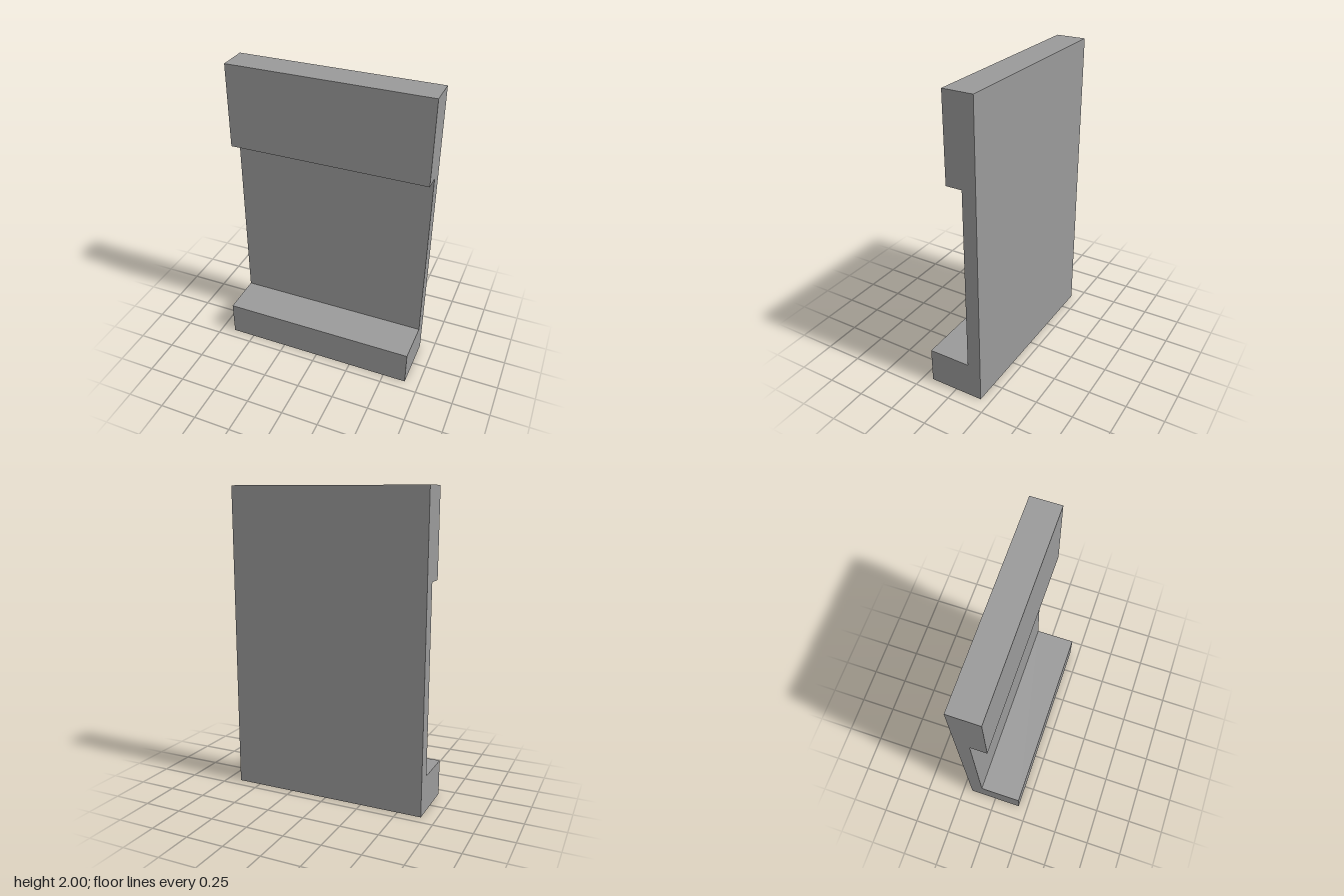
import * as THREE from 'three';

export function createModel() {
  const group = new THREE.Group();
  const width = 1.31;

  // Side profile as (z, y): base ledge, thin back panel, thicker header
  const profile = new THREE.Shape([
    [-0.185, 0], [0.185, 0], [0.185, 0.237], [-0.095, 0.237],
    [-0.095, 1.447], [0.01, 1.447], [0.01, 2], [-0.185, 2],
  ].map(([z, y]) => new THREE.Vector2(z, y)));

  // Sweep the profile across the width, then turn it so the ledge faces +z
  const geometry = new THREE.ExtrudeGeometry(profile, { depth: width, bevelEnabled: false });
  geometry.translate(0, 0, -width / 2);
  geometry.rotateY(-Math.PI / 2);

  const panel = new THREE.Mesh(
    geometry,
    new THREE.MeshStandardMaterial({ color: 0x9a9a9a, flatShading: true })
  );
  panel.name = 'steppedPanel';
  group.add(panel);
  return group;
}
